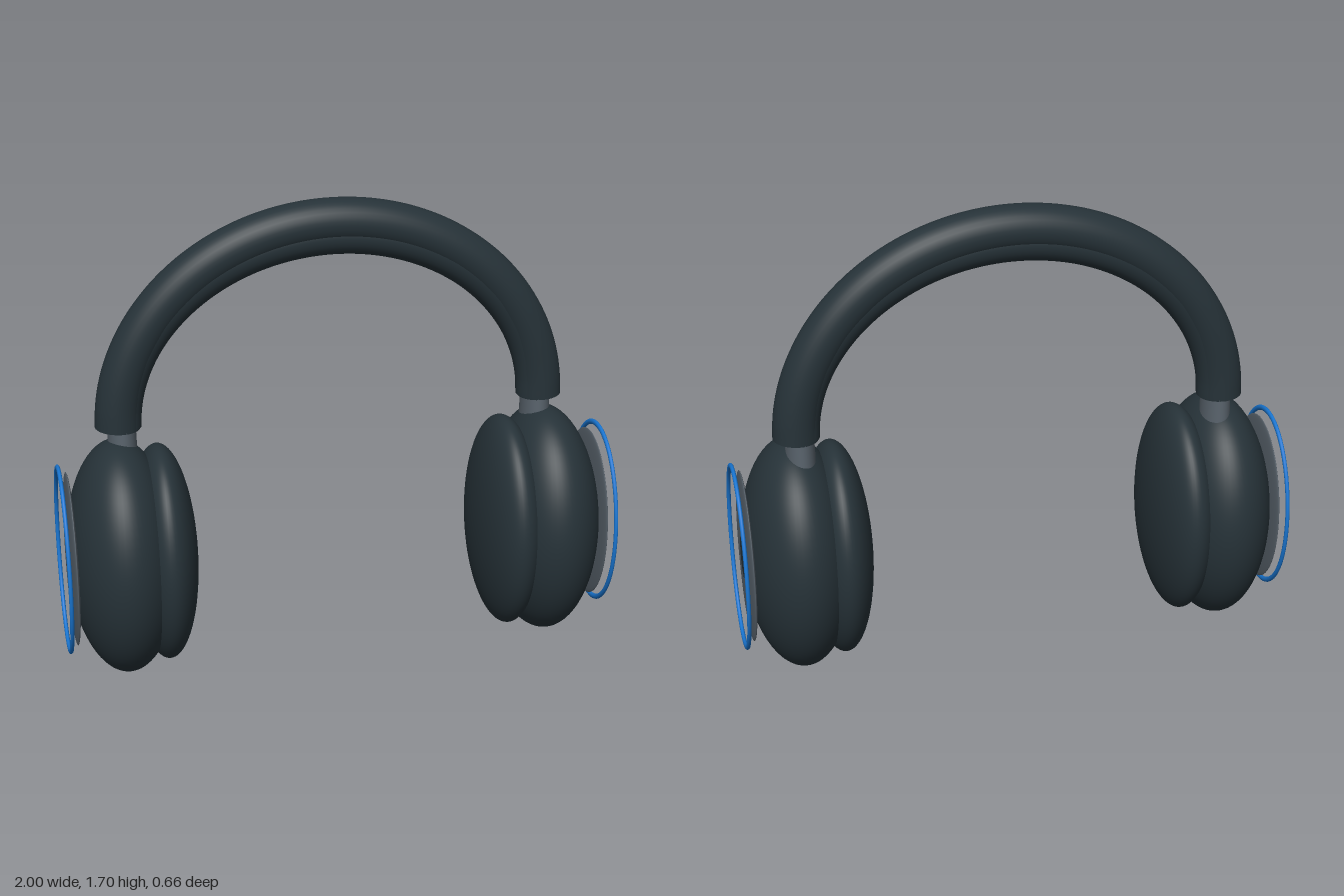
import * as THREE from 'three';

const material = (name, color) => {
  const m = new THREE.MeshStandardMaterial({ color });
  m.name = name;
  return m;
};

export function createModel() {
  const charcoal = material('charcoal', 0x263238);
  const grey = material('slate grey', 0x58626b);
  const blue = material('accent blue', 0x1976d2);

  const model = new THREE.Group();
  model.name = 'headphones';
  const BAND_Z = -0.054;
  const CUP_Y = 0.438;

  const add = (parent, name, geometry, mat, x = 0, y = 0, z = 0) => {
    const mesh = new THREE.Mesh(geometry, mat);
    mesh.name = name;
    mesh.position.set(x, y, z);
    parent.add(mesh);
    return mesh;
  };
  const ellipsoid = (rx, ry, rz) => new THREE.SphereGeometry(1, 64, 40).scale(rx, ry, rz);

  // Half-elliptical tube running over the head, with closed ends
  const arch = (name, rx, baseY, ry, radius) => {
    const group = new THREE.Group();
    group.name = name;
    const points = [];
    for (let i = 0; i <= 32; i++) {
      const a = Math.PI * (1 - i / 32);
      points.push(new THREE.Vector3(rx * Math.cos(a), baseY + ry * Math.sin(a), BAND_Z));
    }
    const path = new THREE.CatmullRomCurve3(points);
    add(group, name + 'Tube', new THREE.TubeGeometry(path, 96, radius, 32), charcoal);
    for (const side of [-1, 1]) {
      const cap = new THREE.CircleGeometry(radius, 32).rotateX(Math.PI / 2);
      add(group, name + 'End', cap, charcoal, side * rx, baseY, BAND_Z);
    }
    model.add(group);
  };
  arch('headband', 0.775, 0.915, 0.705, 0.08);
  arch('headbandPadding', 0.76, 0.92, 0.65, 0.07);

  // Ear assemblies, mirrored across the centre
  for (const side of [-1, 1]) {
    const ear = new THREE.Group();
    ear.name = side > 0 ? 'leftEar' : 'rightEar';
    model.add(ear);

    add(ear, 'earCup', ellipsoid(0.199, CUP_Y, 0.33), charcoal, side * 0.784, CUP_Y);
    add(ear, 'earCushion', ellipsoid(0.12, 0.405, 0.306), charcoal, side * 0.637, 0.44);
    add(ear, 'outerPlate', ellipsoid(0.015, 0.325, 0.236), grey, side * 0.965, 0.442);

    // Thin accent ring standing just off the plate
    const ring = new THREE.TorusGeometry(0.25, 0.0075, 12, 96)
      .rotateY(Math.PI / 2).scale(1, 1.38, 1);
    add(ear, 'accentRing', ring, blue, side * 0.9925, 0.442);

    // Oval slider joining the cup to the band
    const slider = new THREE.CylinderGeometry(0.85, 1, 0.33, 32).scale(0.054, 1, 0.084);
    add(ear, 'slider', slider, grey, side * 0.761, 0.915, BAND_Z);
  }
  return model;
}
